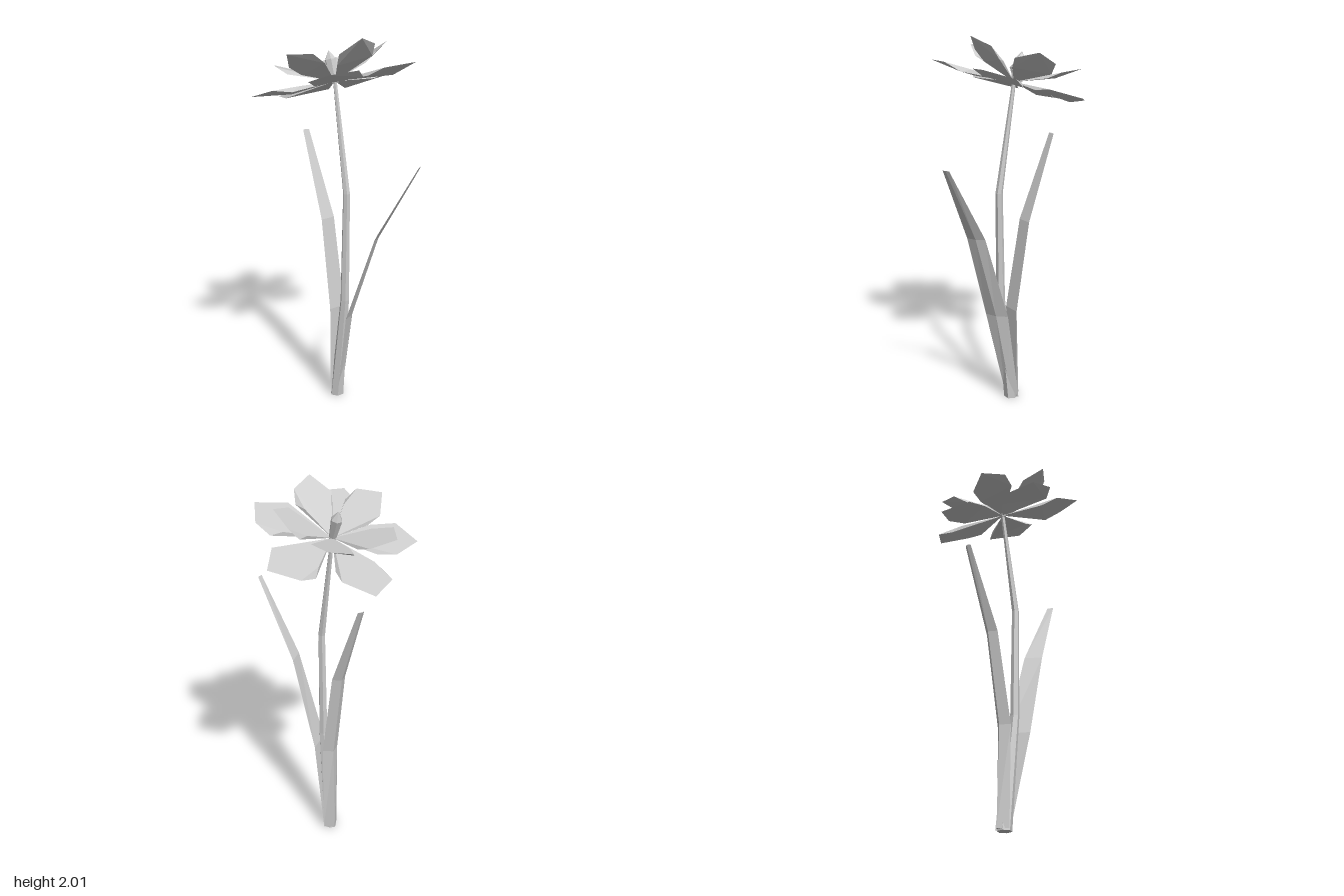
import * as THREE from 'three';

const material = new THREE.MeshStandardMaterial({ color: 0xcccccc, flatShading: true, side: THREE.DoubleSide });

function facetedMesh(name, points, index) {
  const indexed = new THREE.BufferGeometry();
  indexed.setAttribute('position', new THREE.Float32BufferAttribute(points.flat(), 3));
  indexed.setIndex(index);
  const geometry = indexed.toNonIndexed();
  geometry.computeVertexNormals();
  const mesh = new THREE.Mesh(geometry, material);
  mesh.name = name;
  return mesh;
}

// Skins a stack of equal-length rings, listed bottom to top and counter-clockwise seen from above
function loft(name, rings) {
  const n = rings[0].length;
  const index = [];
  for (let r = 0; r < rings.length - 1; r++) {
    for (let i = 0; i < n; i++) {
      const a = r * n + i, b = r * n + (i + 1) % n;
      index.push(a, b, b + n, a, b + n, a + n);
    }
  }
  const top = (rings.length - 1) * n;
  for (let i = 1; i < n - 1; i++) index.push(0, i + 1, i, top, top + i, top + i + 1);
  return facetedMesh(name, rings.flat(), index);
}

// Hexagonal ring around a point
function hexRing([x, y, z, r]) {
  return Array.from({ length: 6 }, (_, i) => {
    const a = i * Math.PI / 3;
    return [x + r * Math.cos(a), y, z - r * Math.sin(a)];
  });
}

// Leaf from rows of [y, left edge x, z, right edge x, z, keel depth]; the keel lies on the outer side
function leaf(name, rows, outward) {
  const rings = rows.map(([y, lx, lz, rx, rz, depth]) => {
    const dx = rx - lx, dz = rz - lz, length = Math.hypot(dx, dz);
    const keel = [
      (lx + rx) / 2 - outward * depth * dz / length, y,
      (lz + rz) / 2 + outward * depth * dx / length,
    ];
    const ring = [[lx, y, lz], keel, [rx, y, rz]];
    return outward > 0 ? ring : ring.reverse();
  });
  return loft(name, rings);
}

// Lopsided petal along +x with a flat top and turned-down side edges
function petal(name) {
  const points = [
    [0, 0, 0], [0.29, 0, 0.135], [0.43, 0, 0.04], [0.36, 0, -0.105],
    [0.22, 0, -0.095], [0.27, -0.025, -0.125], [0.2, -0.018, 0.108],
  ];
  return facetedMesh(name, points, [
    0, 1, 2, 0, 2, 3, 0, 3, 4,            // top
    0, 4, 5, 4, 3, 5, 0, 6, 1,            // turned edges
    6, 2, 1, 6, 5, 2, 5, 3, 2, 0, 5, 6,   // underside
  ]);
}

export function createModel() {
  const model = new THREE.Group();
  model.name = 'flower';

  // Bent stem, tapering upward
  model.add(loft('stem', [
    [-0.015, 0, -0.035, 0.038], [-0.015, 0.6, 0.035, 0.024],
    [-0.012, 1.2, 0.045, 0.019], [-0.012, 1.77, -0.05, 0.01],
  ].map(hexRing)));

  // Two long leaves, leaning forward and backward
  model.add(leaf('frontLeaf', [
    [0.01, -0.03, -0.01, 0.035, -0.05, 0.012],
    [0.52, -0.06, 0.1, 0.045, 0.03, 0.014],
    [1.0, 0, 0.255, 0.075, 0.195, 0.012],
    [1.41, 0.102, 0.457, 0.132, 0.44, 0.004],
  ], 1));
  model.add(leaf('backLeaf', [
    [0.01, -0.055, -0.04, 0.03, -0.04, 0.045],
    [0.53, -0.06, -0.035, 0.035, -0.035, 0.035],
    [1.02, -0.05, -0.118, 0.032, -0.118, 0.03],
    [1.47, -0.032, -0.297, 0.006, -0.297, 0.01],
  ], -1));

  // Blossom, tilted backward
  const blossom = new THREE.Group();
  blossom.name = 'blossom';
  blossom.position.set(-0.012, 1.765, -0.05);
  blossom.rotation.x = THREE.MathUtils.degToRad(-19);
  model.add(blossom);

  // Flat outer petals and smaller raised inner petals
  for (let i = 0; i < 5; i++) {
    const outer = petal('outerPetal');
    outer.rotation.y = THREE.MathUtils.degToRad(19 + 72 * i);
    blossom.add(outer);

    const inner = petal('innerPetal');
    inner.scale.setScalar(0.8);
    inner.rotation.y = THREE.MathUtils.degToRad(55 + 72 * i);
    inner.rotation.z = THREE.MathUtils.degToRad(26);
    blossom.add(inner);
  }

  // Pistil with a pointed tip
  blossom.add(loft('pistil', [
    [0, -0.01, 0, 0.018], [0, 0.11, 0, 0.03], [0, 0.155, 0, 0.002],
  ].map(hexRing)));

  return model;
}
